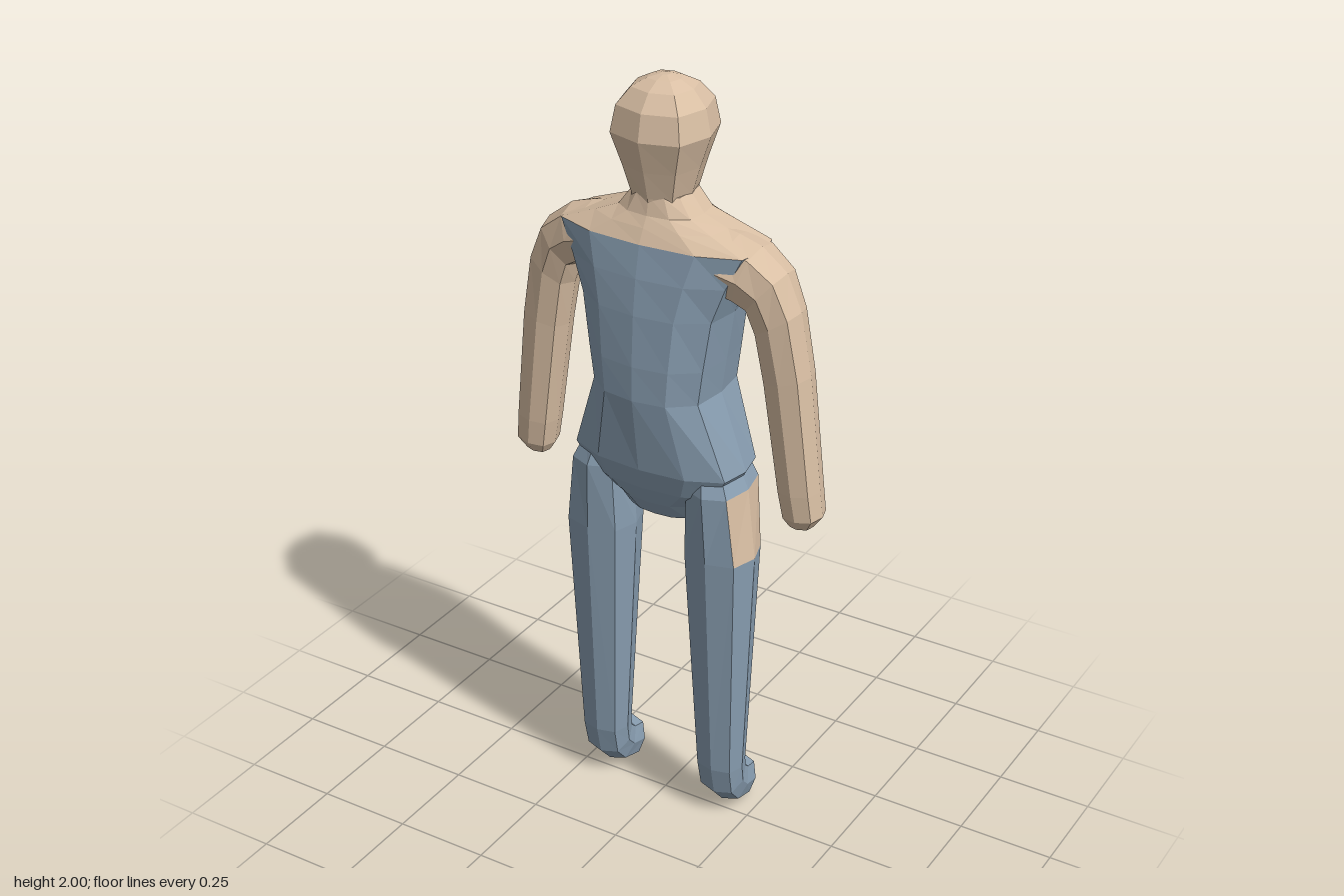
import * as THREE from 'three';

const V = (x, y, z) => new THREE.Vector3(x, y, z);

// Cross-section shapes, as multiples of the two half axes
const OCTAGON = [[1, 0], [0.77, 0.77], [0, 1], [-0.77, 0.77], [-1, 0], [-0.77, -0.77], [0, -1], [0.77, -0.77]];
const TRUNK = [[1, 0], [0.93, 0.6], [0.54, 0.92], [0, 1], [-0.54, 0.92], [-0.93, 0.6],
  [-1, 0], [-0.93, -0.6], [-0.54, -0.92], [0, -1], [0.54, -0.92], [0.93, -0.6]];

// One cross-section around centre c with half axes u and v
const ring = (shape, c, u, v) =>
  shape.map(([a, b]) => c.clone().addScaledVector(u, a).addScaledVector(v, b));

const level = (shape, y, w, d, z = 0) => ring(shape, V(0, y, z), V(w, 0, 0), V(0, 0, d));

// Skins a list of cross-sections and closes both ends; pick gives the material of each face
function loft(rings, pick = () => 0) {
  const faces = [[], []];
  const n = rings[0].length;
  const middle = r => r.reduce((s, p) => s.add(p), V(0, 0, 0)).divideScalar(n);
  const last = rings.length - 1;
  const start = middle(rings[0]), end = middle(rings[last]);
  for (let j = 0; j < n; j++) {
    const k = (j + 1) % n;
    for (let i = 0; i < last; i++) {
      const a = rings[i][j], b = rings[i][k], c = rings[i + 1][k], d = rings[i + 1][j];
      faces[pick(i, j)].push([a, b, c], [a, c, d]);
    }
    faces[0].push([start, rings[0][k], rings[0][j]], [end, rings[last][j], rings[last][k]]);
  }
  // Turn every face outward, judged by the signed volume
  let volume = 0;
  for (const [a, b, c] of faces.flat()) volume += a.dot(b.clone().cross(c));
  if (volume < 0) faces.flat().forEach(f => f.reverse());

  const geometry = new THREE.BufferGeometry().setFromPoints(faces.flat(2));
  geometry.addGroup(0, faces[0].length * 3, 0);
  if (faces[1].length) geometry.addGroup(faces[0].length * 3, faces[1].length * 3, 1);
  geometry.computeVertexNormals();
  return geometry;
}

export function createModel() {
  const model = new THREE.Group();
  model.name = 'figure';
  const skin = new THREE.MeshStandardMaterial({ color: 0xd9bfa4 });
  skin.name = 'skin';
  const cloth = new THREE.MeshStandardMaterial({ color: 0x889db0 });
  cloth.name = 'blue cloth';

  const add = (name, geometry, material) => {
    const mesh = new THREE.Mesh(geometry, material);
    mesh.name = name;
    model.add(mesh);
  };

  // Torso: height, half width, half depth
  add('torso', loft([
    [0.87, 0.085, 0.05], [0.92, 0.11, 0.085], [0.97, 0.19, 0.108], [1.03, 0.228, 0.127],
    [1.23, 0.157, 0.155], [1.32, 0.17, 0.155], [1.45, 0.19, 0.147],
    [1.54, 0.225, 0.135], [1.62, 0.265, 0.118],
  ].map(r => level(TRUNK, ...r))), cloth);

  // Bare shoulders running up into the neck
  add('shouldersAndNeck', loft([
    [1.62, 0.265, 0.118], [1.655, 0.17, 0.1], [1.68, 0.105, 0.085], [1.725, 0.07, 0.075],
  ].map(r => level(TRUNK, ...r))), skin);

  // Head
  add('head', loft([
    [1.69, 0.07, 0.075], [1.72, 0.072, 0.08], [1.79, 0.093, 0.098], [1.87, 0.121, 0.121],
    [1.935, 0.108, 0.108], [1.975, 0.075, 0.075], [1.993, 0.04, 0.04], [2.0, 0.012, 0.012],
  ].map(r => level(OCTAGON, ...r))), skin);

  // Arm: outer x and y, inner x and y, half depth, z offset
  const armSections = [
    [0.12, 1.664, 0.15, 1.52, 0.1, 0], [0.2, 1.65, 0.19, 1.5, 0.09, 0],
    [0.26, 1.632, 0.21, 1.49, 0.08, 0], [0.328, 1.58, 0.238, 1.475, 0.07, 0],
    [0.367, 1.49, 0.258, 1.42, 0.062, 0], [0.396, 1.33, 0.28, 1.3, 0.058, -0.003],
    [0.428, 1.03, 0.322, 1.02, 0.053, -0.007], [0.435, 0.96, 0.335, 0.95, 0.05, -0.01],
    [0.412, 0.928, 0.352, 0.924, 0.032, -0.01],
  ];

  // Leg and foot: front y and z, rear y and z, inner x, outer x; toes point to -z
  const legSections = [
    [1.06, 0.08, 1.06, -0.08, 0.1, 0.2], [0.985, 0.105, 0.985, -0.1, 0.09, 0.237],
    [0.8, 0.097, 0.8, -0.078, 0.08, 0.262], [0.16, 0.062, 0.16, -0.046, 0.113, 0.237],
    [0.08, 0.045, 0.138, -0.05, 0.115, 0.235], [0.03, 0, 0.125, -0.066, 0.117, 0.232],
    [0.004, -0.075, 0.115, -0.103, 0.12, 0.225], [0.02, -0.112, 0.088, -0.123, 0.14, 0.205],
  ];

  for (const [side, s] of [['left', 1], ['right', -1]]) {
    add(side + 'Arm', loft(armSections.map(([ox, oy, ix, iy, d, z]) => ring(OCTAGON,
      V(s * (ox + ix) / 2, (oy + iy) / 2, z),
      V(s * (ox - ix) / 2, (oy - iy) / 2, 0), V(0, 0, d)))), skin);

    // The outer faces of the upper thigh are bare
    add(side + 'Leg', loft(legSections.map(([fy, fz, ry, rz, xi, xo]) => ring(OCTAGON,
      V(s * (xi + xo) / 2, (fy + ry) / 2, (fz + rz) / 2),
      V(s * (xo - xi) / 2, 0, 0), V(0, (fy - ry) / 2, (fz - rz) / 2))),
    (i, j) => (i === 1 && (j === 0 || j === 7) ? 1 : 0)), [cloth, skin]);
  }
  return model;
}
